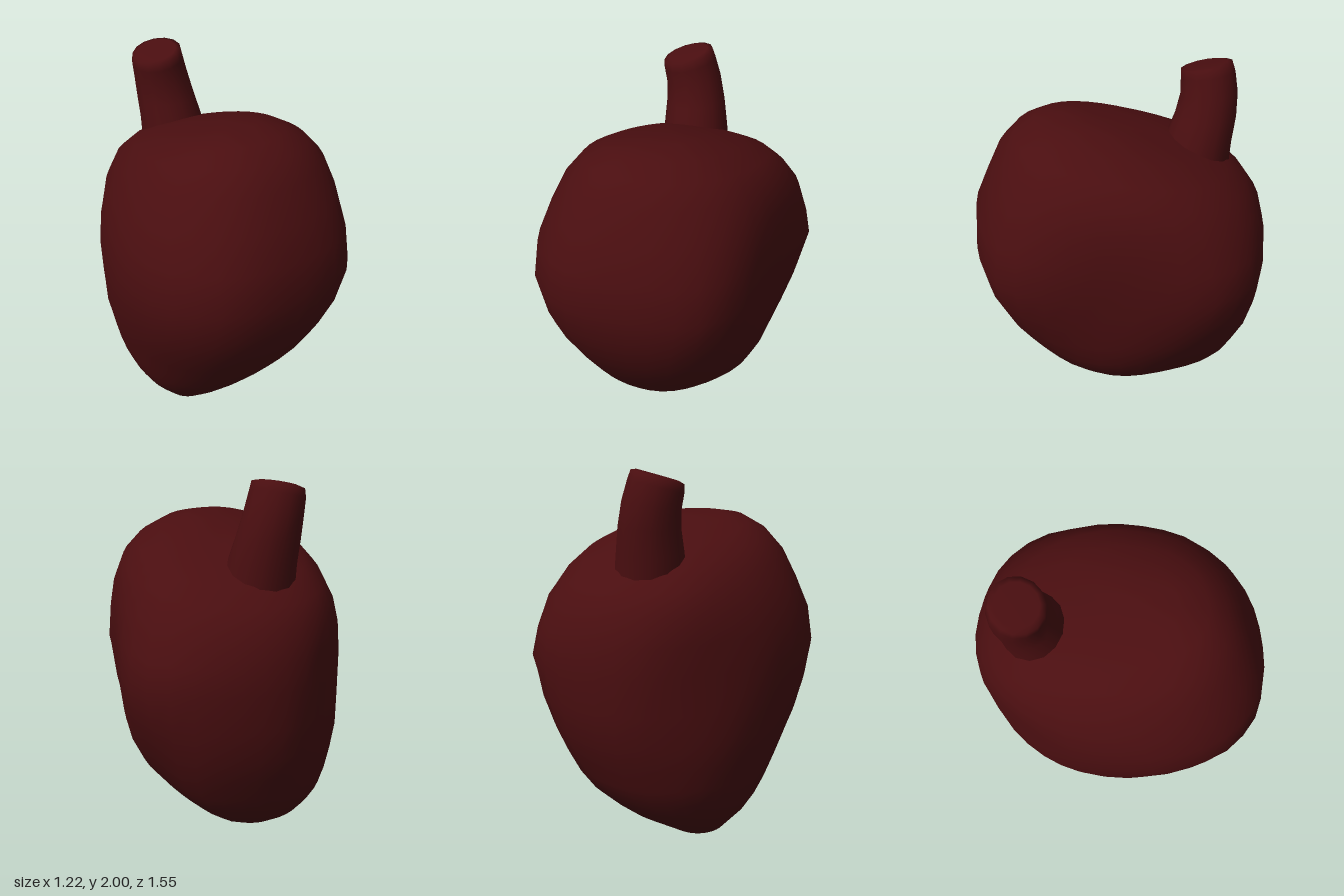
import * as THREE from 'three';
import { mergeVertices } from 'three/addons/utils/BufferGeometryUtils.js';

const SIDES = 36;

// Skin a stack of equal-length closed rings, ordered bottom to top
function loft(rings) {
  const n = rings[0].length, pos = [], index = [];
  rings.forEach(r => r.forEach(p => pos.push(p.x, p.y, p.z)));
  for (let i = 0; i < rings.length - 1; i++) {
    for (let j = 0; j < n; j++) {
      const a = i * n + j, b = i * n + (j + 1) % n;
      index.push(a, a + n, b, b, a + n, b + n);
    }
  }
  let geo = new THREE.BufferGeometry();
  geo.setAttribute('position', new THREE.Float32BufferAttribute(pos, 3));
  geo.setIndex(index);
  geo = mergeVertices(geo, 1e-4);
  geo.computeVertexNormals();
  return geo;
}

// Smooth closed section within -1..1, listed from the back round by the left side
function section(points) {
  const curve = new THREE.CatmullRomCurve3(points.map(([x, z]) => new THREE.Vector3(x, 0, z)), true);
  return curve.getSpacedPoints(SIDES).slice(0, SIDES);
}

function createBody(material) {
  const middle = section([
    [0.16, -1], [0.48, -0.97], [0.69, -0.91], [0.86, -0.8], [0.96, -0.67], [1, -0.52], [0.98, 0],
    [0.99, 0.43], [0.87, 0.7], [0.54, 0.88], [0.1, 0.98], [-0.16, 1], [-0.4, 0.97], [-0.74, 0.78],
    [-0.96, 0.43], [-1, 0.17], [-0.95, -0.22], [-0.71, -0.61], [-0.4, -0.89], [-0.13, -0.98],
  ]);
  const lower = section([
    [0.2, -1], [0.57, -0.9], [0.85, -0.45], [1, 0.1], [0.86, 0.55], [0.5, 0.88], [-0.1, 1],
    [-0.5, 0.9], [-0.84, 0.58], [-1, 0.05], [-0.92, -0.42], [-0.7, -0.74], [-0.3, -0.97],
  ]);
  const upper = section([
    [0.12, -1], [0.5, -0.9], [0.8, -0.65], [0.97, -0.28], [0.99, 0.1], [0.87, 0.52], [0.5, 0.86],
    [-0.1, 1], [-0.5, 0.91], [-0.82, 0.65], [-0.98, 0.25], [-0.97, -0.2], [-0.8, -0.65],
    [-0.55, -0.87], [-0.2, -0.99],
  ]);
  // Flat rings: [y, x min, x max, z back, z front, blend towards the lower section]
  const bottom = [
    [0, -0.14, -0.14, -0.05, -0.05, 1],
    [0.055, -0.28, 0, -0.2, 0.1, 1],
    [0.185, -0.4, 0.19, -0.4, 0.25, 1],
    [0.265, -0.45, 0.295, -0.49, 0.33, 1],
    [0.355, -0.49, 0.39, -0.575, 0.41, 1],
    [0.45, -0.52, 0.475, -0.625, 0.485, 1],
    [0.57, -0.55, 0.535, -0.675, 0.575, 0.9],
    [0.7, -0.58, 0.568, -0.73, 0.66, 0.6],
    [0.86, -0.598, 0.59, -0.76, 0.735, 0.25],
    [1.05, -0.612, 0.607, -0.772, 0.775, 0],
  ];
  // Tilted rings: [x min, y, x max, y, z back, y, z front, y, blend towards the upper section]
  const top = [
    [-0.592, 1.22, 0.607, 1.22, -0.76, 1.19, 0.755, 1.25, 0.3],
    [-0.55, 1.36, 0.592, 1.4, -0.72, 1.33, 0.685, 1.41, 0.7],
    [-0.48, 1.5, 0.54, 1.54, -0.65, 1.43, 0.61, 1.57, 1],
    [-0.39, 1.6, 0.46, 1.62, -0.55, 1.515, 0.52, 1.675, 1],
    [-0.28, 1.66, 0.34, 1.685, -0.4, 1.59, 0.42, 1.735, 1],
    [-0.15, 1.7, 0.19, 1.732, -0.18, 1.67, 0.28, 1.755, 1],
    [0.04, 1.73, 0.04, 1.73, 0.06, 1.73, 0.06, 1.73, 1],
  ];
  const ring = (other, x0, yr, x1, yl, z0, yb, z1, yf, blend) => middle.map((m, j) => {
    const p = m.clone().lerp(other[j], blend);
    const mid = (yb + yf) / 2, side = p.x < 0 ? yr : yl;
    return new THREE.Vector3(
      (x0 + x1) / 2 + p.x * (x1 - x0) / 2,
      mid + p.z * (yf - yb) / 2 + p.x * p.x * (side - mid),
      (z0 + z1) / 2 + p.z * (z1 - z0) / 2);
  });
  const rings = [
    ...bottom.map(([y, x0, x1, z0, z1, blend]) => ring(lower, x0, y, x1, y, z0, y, z1, y, blend)),
    ...top.map(level => ring(upper, ...level)),
  ];
  const mesh = new THREE.Mesh(loft(rings), material);
  mesh.name = 'body';
  return mesh;
}

function createStem(material) {
  // [x, y, z, radius, tilt]; the last rings close the slanted cut end
  const levels = [
    [-0.07, 1.46, -0.385, 0.18, 0],
    [-0.085, 1.6, -0.403, 0.169, 0],
    [-0.105, 1.72, -0.432, 0.155, 0.05],
    [-0.125, 1.83, -0.443, 0.143, 0.12],
    [-0.145, 1.92, -0.433, 0.135, 0.18],
    [-0.15, 1.962, -0.425, 0.127, 0.2],
    [-0.15, 1.97, -0.425, 0.1, 0.2],
    [-0.15, 1.965, -0.425, 0, 0.2],
  ];
  const sides = 14;
  const rings = levels.map(([x, y, z, r, tilt]) => Array.from({ length: sides }, (_, j) => {
    const a = (j / sides) * Math.PI * 2, dx = r * Math.cos(a), dz = r * Math.sin(a);
    return new THREE.Vector3(x + dx, y + tilt * (dx - dz), z + dz);
  }));
  const mesh = new THREE.Mesh(loft(rings), material);
  mesh.name = 'stem';
  return mesh;
}

export function createModel() {
  const material = new THREE.MeshStandardMaterial({ color: 0x4a0e10 });
  const group = new THREE.Group();
  group.name = 'stemmedFruit';
  group.add(createBody(material), createStem(material));
  return group;
}
